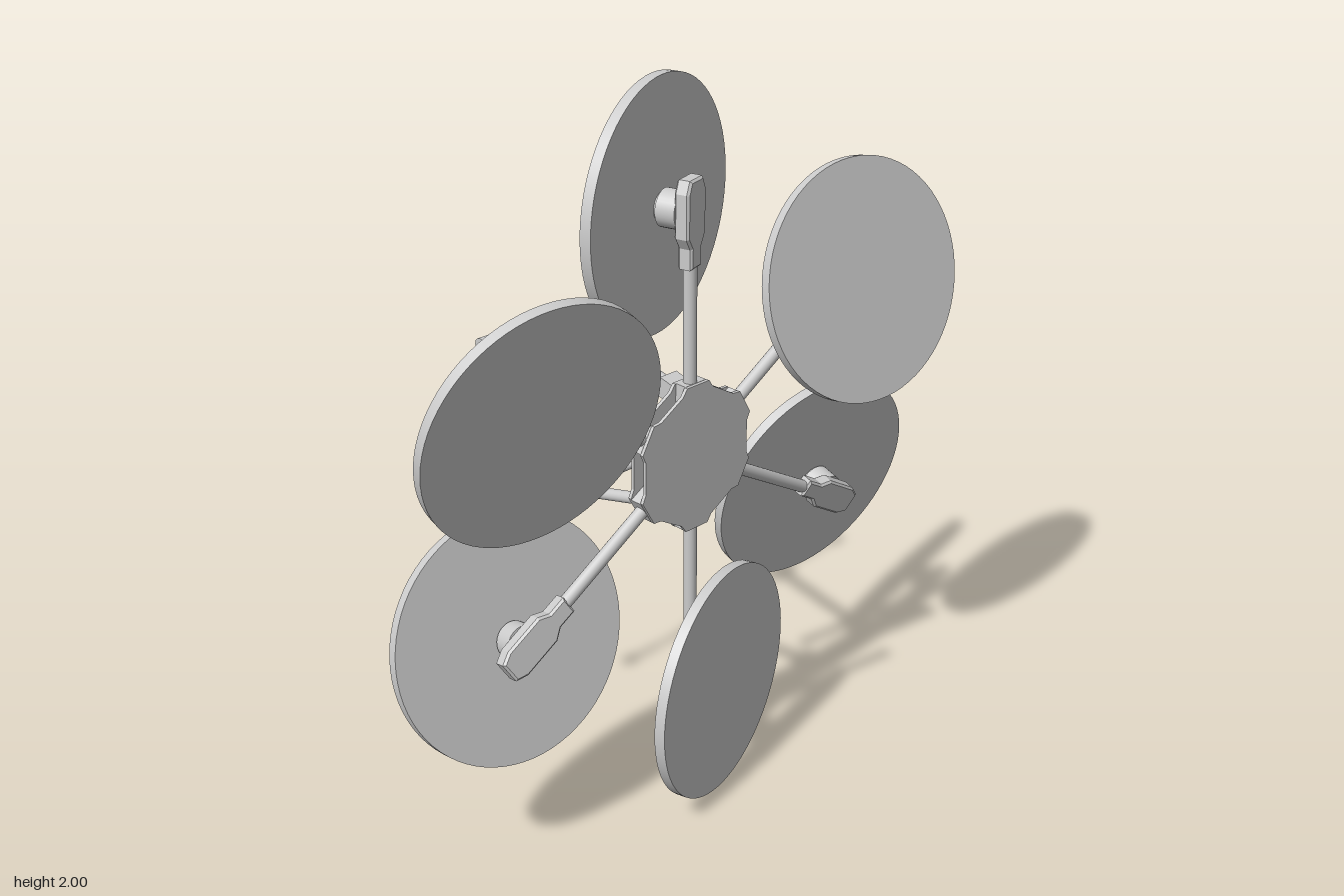
import * as THREE from 'three';

const material = new THREE.MeshStandardMaterial({ color: 0xcccccc });
const HUB_Y = 1.005, HUB_Z = 0.14, ARM_REACH = 0.665, TILT = Math.PI / 12;

function add(parent, name, geometry, x = 0, y = 0, z = 0) {
  const mesh = new THREE.Mesh(geometry, material);
  mesh.name = name;
  mesh.position.set(x, y, z);
  parent.add(mesh);
  return mesh;
}

// Flat outline extruded evenly about z = 0
function slab(points, depth, bevel = 0) {
  const shape = new THREE.Shape(points.map(([x, y]) => new THREE.Vector2(x, y)));
  const geometry = new THREE.ExtrudeGeometry(shape, {
    depth: depth - 2 * bevel, bevelEnabled: bevel > 0, bevelSize: bevel,
    bevelThickness: bevel, bevelOffset: -bevel, bevelSegments: 1,
  });
  return geometry.translate(0, 0, -depth / 2 + bevel);
}

// Cylinder whose axis is z
const zCylinder = (radius, length, sides = 32) =>
  new THREE.CylinderGeometry(radius, radius, length, sides).rotateX(Math.PI / 2);
const xCylinder = (radius, length, sides = 20) =>
  new THREE.CylinderGeometry(radius, radius, length, sides).rotateZ(Math.PI / 2);

function makeHub() {
  const hub = new THREE.Group();
  hub.name = 'hub';
  // Plate outline: a raised flat at each arm, a recessed edge between
  const outline = [];
  for (let i = 0; i < 6; i++) {
    for (const [deg, r] of [[-16.5, 0.193], [-11, 0.21], [11, 0.21], [16.5, 0.193]]) {
      const a = THREE.MathUtils.degToRad(30 + i * 60 + deg);
      outline.push([r * Math.cos(a), r * Math.sin(a)]);
    }
  }
  add(hub, 'frontPlate', slab(outline, 0.01), 0, 0, 0.022);
  add(hub, 'backPlate', slab(outline, 0.01), 0, 0, -0.022);
  add(hub, 'hubCore', zCylinder(0.1, 0.036), 0, 0, 0);
  return hub;
}

function makeArm(index) {
  const arm = new THREE.Group();
  arm.name = 'arm';
  // Local +y runs outward along the arm
  arm.rotation.z = THREE.MathUtils.degToRad(30 + index * 60 - 90);
  add(arm, 'armClamp', new THREE.BoxGeometry(0.075, 0.05, 0.036), 0, 0.182, 0);
  add(arm, 'armTube', new THREE.CylinderGeometry(0.018, 0.018, 0.48, 20), -0.004, 0.32, 0)
    .rotation.z = 0.01;

  // Motor pod, tilted about the arm; rotors alternate front and back
  const pod = new THREE.Group();
  pod.name = 'motorPod';
  pod.position.set(-0.008, ARM_REACH, 0);
  pod.rotation.y = index % 2 === 0 ? -TILT : Math.PI + TILT;
  const half = [[0.026, -0.145], [0.026, -0.09], [0.045, -0.06], [0.045, 0.055], [0.03, 0.088]];
  const mirrored = half.map(([x, y]) => [-x, y]).reverse();
  add(pod, 'motorMount', slab([...half, ...mirrored], 0.042, 0.006));
  add(pod, 'motor', zCylinder(0.05, 0.055), 0, 0, 0.045);
  add(pod, 'motorShaft', zCylinder(0.04, 0.025), 0, 0, 0.078);
  add(pod, 'rotorDisc', zCylinder(0.333, 0.03, 72), 0, 0, 0.096);
  arm.add(pod);
  return arm;
}

// side is 1 for the upper leg and -1 for the lower one
function makeLandingLeg(side) {
  const leg = new THREE.Group();
  leg.name = 'landingLeg';
  const start = new THREE.Vector3(0, HUB_Y + side * 0.167, 0.085);
  const end = new THREE.Vector3(0, HUB_Y + side * 0.267, -0.312);
  const length = start.distanceTo(end);
  leg.position.copy(start);
  // Local -z runs along the strut
  leg.rotation.x = Math.atan2(end.y - start.y, start.z - end.z);
  add(leg, 'legBracket', new THREE.BoxGeometry(0.06, 0.055, 0.07));
  add(leg, 'strut', zCylinder(0.017, length, 20), 0, 0, -length / 2);
  add(leg, 'strutSleeve', new THREE.BoxGeometry(0.055, 0.045, 0.05), 0, 0, -length + 0.03);
  add(leg, 'crossbarClamp', new THREE.BoxGeometry(0.11, 0.045, 0.036), 0, 0, -length);
  add(leg, 'crossbar', xCylinder(0.01, 0.6), 0, 0, -length);
  for (const x of [-0.305, 0.305])
    add(leg, 'crossbarCap', xCylinder(0.019, 0.035), x, 0, -length);
  return leg;
}

export function createModel() {
  const model = new THREE.Group();
  model.name = 'sixRotorDrone';
  const frame = new THREE.Group();
  frame.name = 'frame';
  frame.position.set(0, HUB_Y, HUB_Z);
  frame.add(makeHub());
  for (let i = 0; i < 6; i++) frame.add(makeArm(i));
  model.add(frame, makeLandingLeg(1), makeLandingLeg(-1));
  return model;
}
